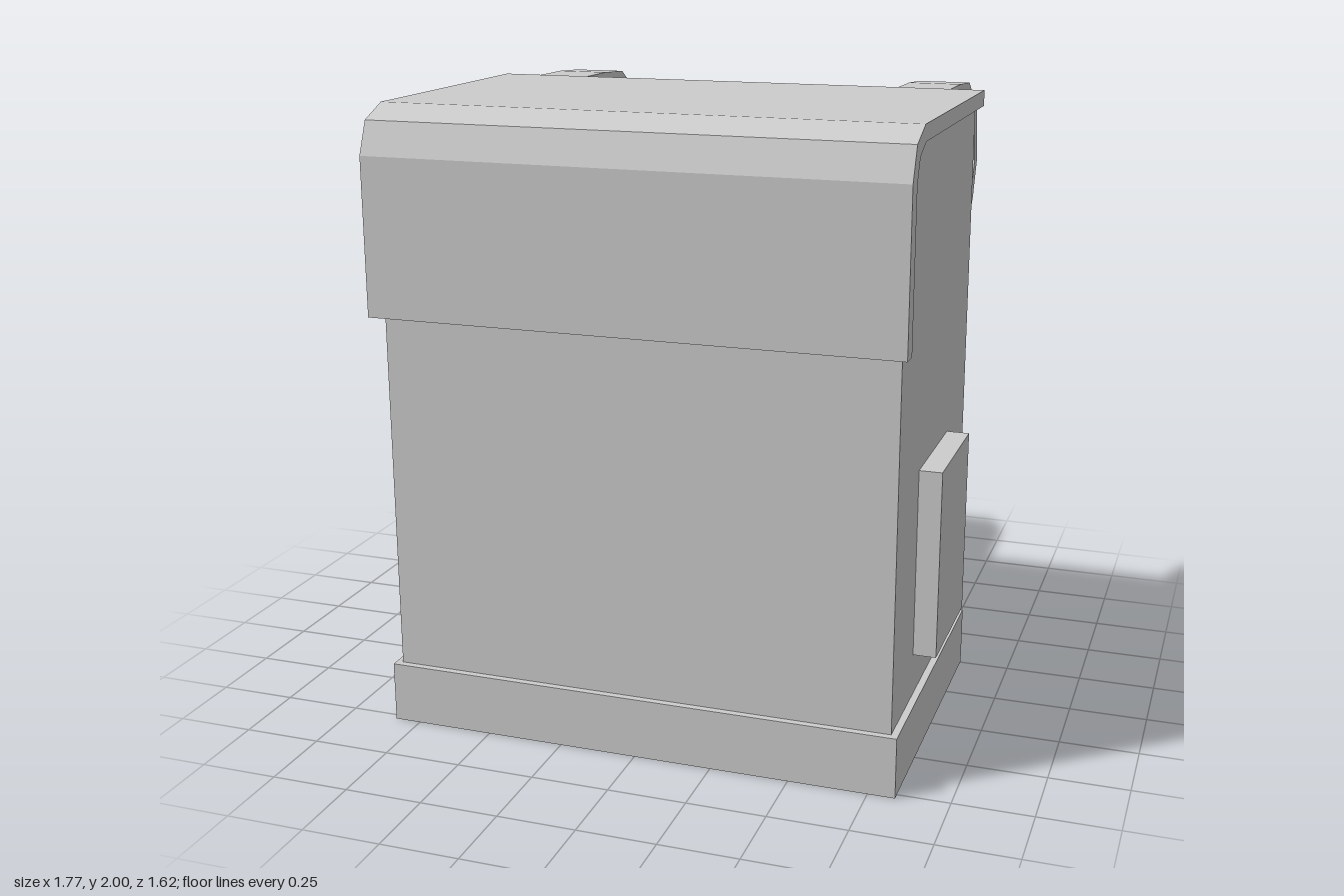
import * as THREE from 'three';

const material = new THREE.MeshStandardMaterial({ color: 0xcccccc, flatShading: true });

function addMesh(parent, name, geometry) {
  const mesh = new THREE.Mesh(geometry, material);
  mesh.name = name;
  parent.add(mesh);
}

// Box given by its limits on each axis
function box(x0, x1, y0, y1, z0, z1) {
  return new THREE.BoxGeometry(x1 - x0, y1 - y0, z1 - z0)
    .translate((x0 + x1) / 2, (y0 + y1) / 2, (z0 + z1) / 2);
}

// Side profile of [z, y] points, extruded along x between x0 and x1
function sideProfile(points, x0, x1) {
  const shape = new THREE.Shape(points.map(([z, y]) => new THREE.Vector2(z, y)));
  return new THREE.ExtrudeGeometry(shape, { depth: x1 - x0, bevelEnabled: false })
    .rotateY(-Math.PI / 2)
    .translate(x1, 0, 0);
}

export function createModel() {
  const bag = new THREE.Group();
  bag.name = 'backpack';

  // Main compartment and reinforced bottom
  addMesh(bag, 'body', box(-0.813, 0.813, 0.19, 1.95, -0.235, 0.752));
  addMesh(bag, 'base', box(-0.835, 0.835, 0, 0.195, -0.257, 0.775));

  // Lid that folds over the front edge
  const lidOuter = [[-0.238, 2], [0.665, 2], [0.767, 1.957], [0.81, 1.855], [0.81, 1.36]];
  const lidInner = [[0.752, 1.36], [0.752, 1.845], [0.722, 1.918], [0.65, 1.95], [-0.238, 1.95]];
  addMesh(bag, 'lid', sideProfile([...lidOuter, ...lidInner], -0.84, 0.84));

  // Shoulder strap: outer edge downwards, inner edge back up
  const strapOuter = [
    [-0.23, 1.997], [-0.44, 1.995], [-0.6, 1.985], [-0.76, 1.88], [-0.806, 1.7], [-0.75, 1.565],
    [-0.63, 1.415], [-0.338, 1.185], [-0.28, 1.08], [-0.288, 0.97], [-0.288, 0.45], [-0.28, 0.305],
  ];
  const strapInner = [
    [-0.232, 0.305], [-0.232, 1.09], [-0.302, 1.215], [-0.61, 1.455], [-0.713, 1.59],
    [-0.757, 1.695], [-0.72, 1.85], [-0.588, 1.938], [-0.44, 1.948], [-0.23, 1.95],
  ];

  // Mirrored straps and side pockets
  for (const [side, s] of [['left', 1], ['right', -1]]) {
    const strap = sideProfile([...strapOuter, ...strapInner], -0.0875, 0.0875);
    addMesh(bag, side + 'Strap', strap.translate(s * 0.637, 0, 0));
    const pocket = box(-0.0425, 0.0425, 0.333, 0.935, 0.045, 0.47);
    addMesh(bag, side + 'Pocket', pocket.translate(s * 0.8425, 0, 0));
  }
  return bag;
}
